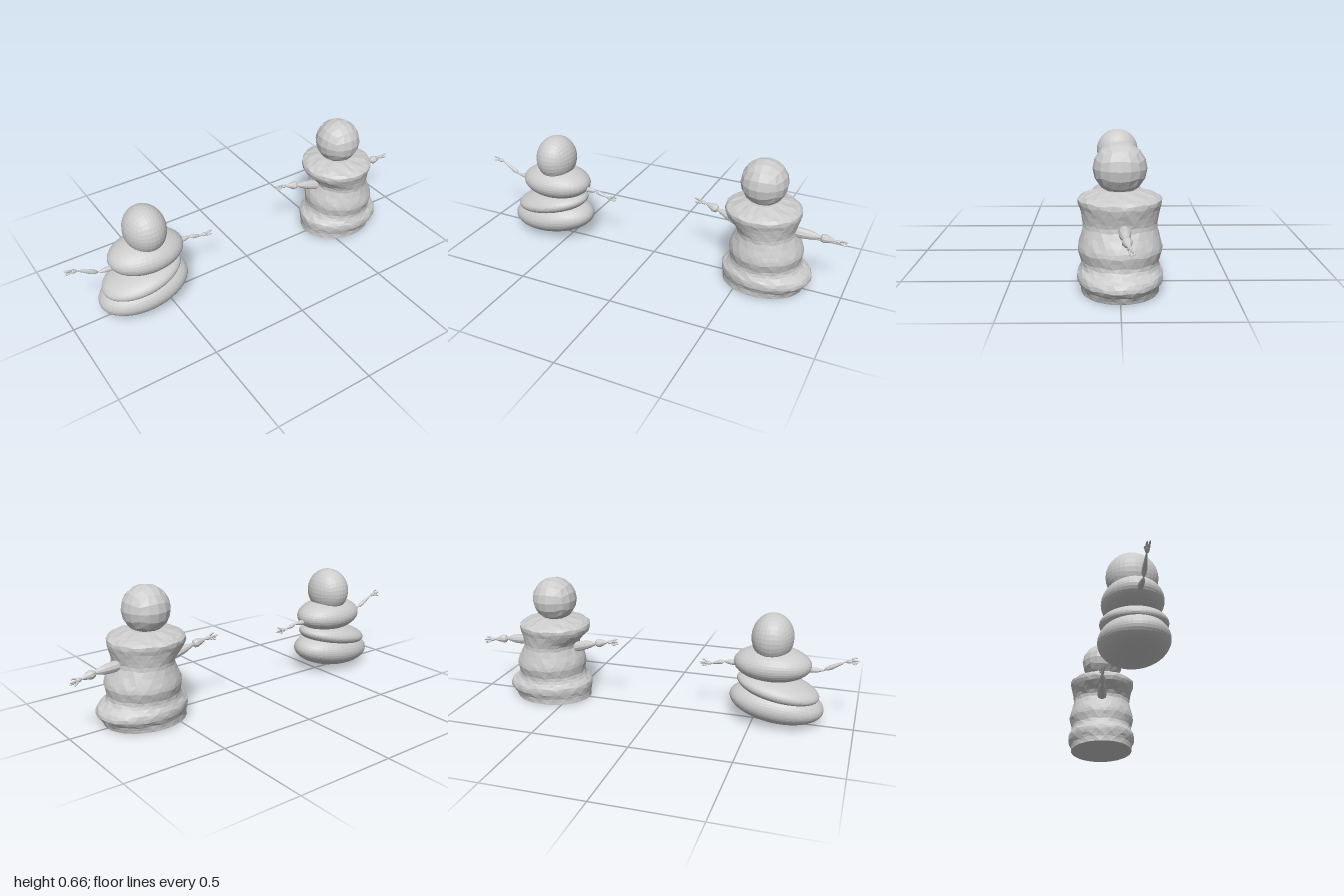
import * as THREE from 'three';

const mat = new THREE.MeshStandardMaterial({ color: 0xcccccc, flatShading: true, side: THREE.DoubleSide });
const V = (a) => new THREE.Vector3(...a);

function add(parent, name, geometry) {
  const mesh = new THREE.Mesh(geometry, mat);
  mesh.name = name;
  parent.add(mesh);
  return mesh;
}

// Snowball: a cube with n x n faces per side, puffed into an ellipsoid
function ball(parent, name, n, center, radii, tilt = 0) {
  const g = new THREE.BoxGeometry(2, 2, 2, n, n, n);
  const p = g.attributes.position, v = new THREE.Vector3();
  for (let i = 0; i < p.count; i++) {
    v.fromBufferAttribute(p, i);
    v.set(Math.tan(v.x * Math.PI / 4), Math.tan(v.y * Math.PI / 4), Math.tan(v.z * Math.PI / 4)).normalize();
    p.setXYZ(i, v.x * radii[0], v.y * radii[1], v.z * radii[2]);
  }
  g.computeVertexNormals();
  const mesh = add(parent, name, g);
  mesh.position.set(...center);
  mesh.rotation.z = tilt;
  return mesh;
}

// Turned piece running from a to b, with radii spaced evenly along it
function segment(parent, name, a, b, radii, sides = 10) {
  const dir = b.clone().sub(a), len = dir.length();
  const pts = radii.map((r, i) => new THREE.Vector2(r, len * i / (radii.length - 1)));
  const mesh = add(parent, name, new THREE.LatheGeometry(pts, sides));
  mesh.position.copy(a);
  mesh.quaternion.setFromUnitVectors(new THREE.Vector3(0, 1, 0), dir.normalize());
}

// Arm: upper arm, forearm, palm and four splayed fingers
function arm(parent, name, shoulder, elbow, wrist, tip, r) {
  const g = new THREE.Group();
  g.name = name;
  parent.add(g);
  const [s, e, w, t] = [shoulder, elbow, wrist, tip].map(V);
  segment(g, 'upperArm', s, e, [r, r * 1.05, r, r * 0.85, r * 0.5, 0]);
  const back = e.clone().lerp(s, 0.15);
  segment(g, 'forearm', back, w, [0, r * 0.75, r * 0.9, r * 0.75, r * 0.55, r * 0.35, 0]);
  const start = w.clone().lerp(e, 0.1), palm = w.clone().lerp(t, 0.45);
  segment(g, 'palm', start, palm, [0.004, 0.009, 0.011, 0.008, 0], 8);
  const base = w.clone().lerp(t, 0.25);
  // y and z offsets, reach of each finger
  const fingers = [[0.014, 0.008, 0.85], [0.004, -0.006, 1], [-0.009, 0.005, 0.97], [-0.012, -0.014, 0.78]];
  for (const [dy, dz, reach] of fingers) {
    const root = base.clone().add(V([0, dy * 0.3, dz * 0.4]));
    const end = w.clone().lerp(t, reach).add(V([0, dy, dz]));
    const knuckle = root.clone().lerp(end, 0.5).add(V([0, dy * 0.25, dz * 0.25]));
    segment(g, 'finger', root, knuckle, [0.003, 0.005, 0.0045], 6);
    segment(g, 'fingertip', knuckle, end, [0.0045, 0.004, 0], 6);
  }
}

// Lumpy body from elliptical rings: height, centre x, radius x, radius z
function lumpyBody(parent, rings) {
  const sides = 36, pos = [], idx = [];
  const curve = (k) => new THREE.SplineCurve(rings.map((q) => new THREE.Vector2(q[0], q[k])));
  const [cx, rx, rz] = [1, 2, 3].map(curve);
  const rows = (rings.length - 1) * 2;
  for (let j = 0; j <= rows; j++) {
    const t = j / rows, c = cx.getPoint(t), a = rx.getPoint(t).y, b = rz.getPoint(t).y;
    for (let i = 0; i < sides; i++) {
      const th = (i + (j % 2) * 0.5) / sides * Math.PI * 2;
      const bump = 1 + 0.006 * Math.sin(i * 2.7 + j * 1.9);
      const y = j === 0 || j === rows ? c.x : c.x + 0.003 * Math.sin(i * 1.7 + j * 2.3);
      pos.push(c.y + a * bump * Math.sin(th), y, b * bump * Math.cos(th));
      if (j === rows) continue;
      const p = j * sides + i, q = j * sides + (i + 1) % sides;
      // odd rows are shifted half a step, so the diagonal alternates
      if (j % 2) idx.push(p, q, q + sides, p, q + sides, p + sides);
      else idx.push(p, q, p + sides, q, q + sides, p + sides);
    }
  }
  // flat base and closed top
  const bottom = pos.length / 3, last = rows * sides;
  pos.push(rings[0][1], rings[0][0], 0);
  const end = rings[rings.length - 1];
  pos.push(end[1], end[0], 0);
  for (let i = 0; i < sides; i++) {
    const n = (i + 1) % sides;
    idx.push(bottom, n, i, bottom + 1, last + i, last + n);
  }
  const g = new THREE.BufferGeometry();
  g.setAttribute('position', new THREE.Float32BufferAttribute(pos, 3));
  g.setIndex(idx);
  g.computeVertexNormals();
  add(parent, 'body', g);
}

export function createModel() {
  const model = new THREE.Group();
  model.name = 'snowPair';

  // Slumped figure of stacked, tilted snowballs
  const slumped = new THREE.Group();
  slumped.name = 'slumpedSnowFigure';
  model.add(slumped);
  ball(slumped, 'baseBall', 12, [-0.613, 0.105, 0], [0.238, 0.097, 0.157], 0.12);
  ball(slumped, 'lowerBall', 12, [-0.618, 0.185, 0], [0.21, 0.062, 0.15], 0.2);
  ball(slumped, 'chestBall', 10, [-0.585, 0.308, 0], [0.193, 0.088, 0.14]);
  ball(slumped, 'head', 8, [-0.58, 0.443, 0], [0.104, 0.121, 0.12]);
  arm(slumped, 'rightArm', [-0.75, 0.29, 0.005], [-0.845, 0.295, 0.008], [-0.945, 0.357, 0.004], [-1.0, 0.362, 0.002], 0.013);
  arm(slumped, 'leftArm', [-0.41, 0.288, 0], [-0.335, 0.289, 0.002], [-0.27, 0.268, 0.006], [-0.212, 0.27, 0.006], 0.013);

  // Upright figure with a melted, lumpy body
  const upright = new THREE.Group();
  upright.name = 'uprightSnowFigure';
  model.add(upright);
  lumpyBody(upright, [
    [0, 0.605, 0.205, 0.172],
    [0.03, 0.612, 0.212, 0.175],
    [0.058, 0.621, 0.226, 0.188],
    [0.09, 0.616, 0.22, 0.188],
    [0.115, 0.609, 0.188, 0.175],
    [0.145, 0.61, 0.176, 0.172],
    [0.19, 0.612, 0.183, 0.185],
    [0.23, 0.61, 0.173, 0.178],
    [0.29, 0.608, 0.145, 0.163],
    [0.325, 0.602, 0.152, 0.166],
    [0.37, 0.586, 0.181, 0.176],
    [0.408, 0.585, 0.184, 0.185],
    [0.428, 0.583, 0.148, 0.15],
    [0.447, 0.58, 0.08, 0.085],
  ]);
  ball(upright, 'head', 4, [0.58, 0.54, 0], [0.115, 0.116, 0.119]);
  arm(upright, 'rightArm', [0.49, 0.28, -0.012], [0.325, 0.327, -0.028], [0.27, 0.34, -0.035], [0.205, 0.345, -0.04], 0.025);
  arm(upright, 'leftArm', [0.74, 0.302, -0.015], [0.88, 0.295, -0.022], [0.94, 0.286, -0.032], [1.0, 0.279, -0.04], 0.025);

  return model;
}
